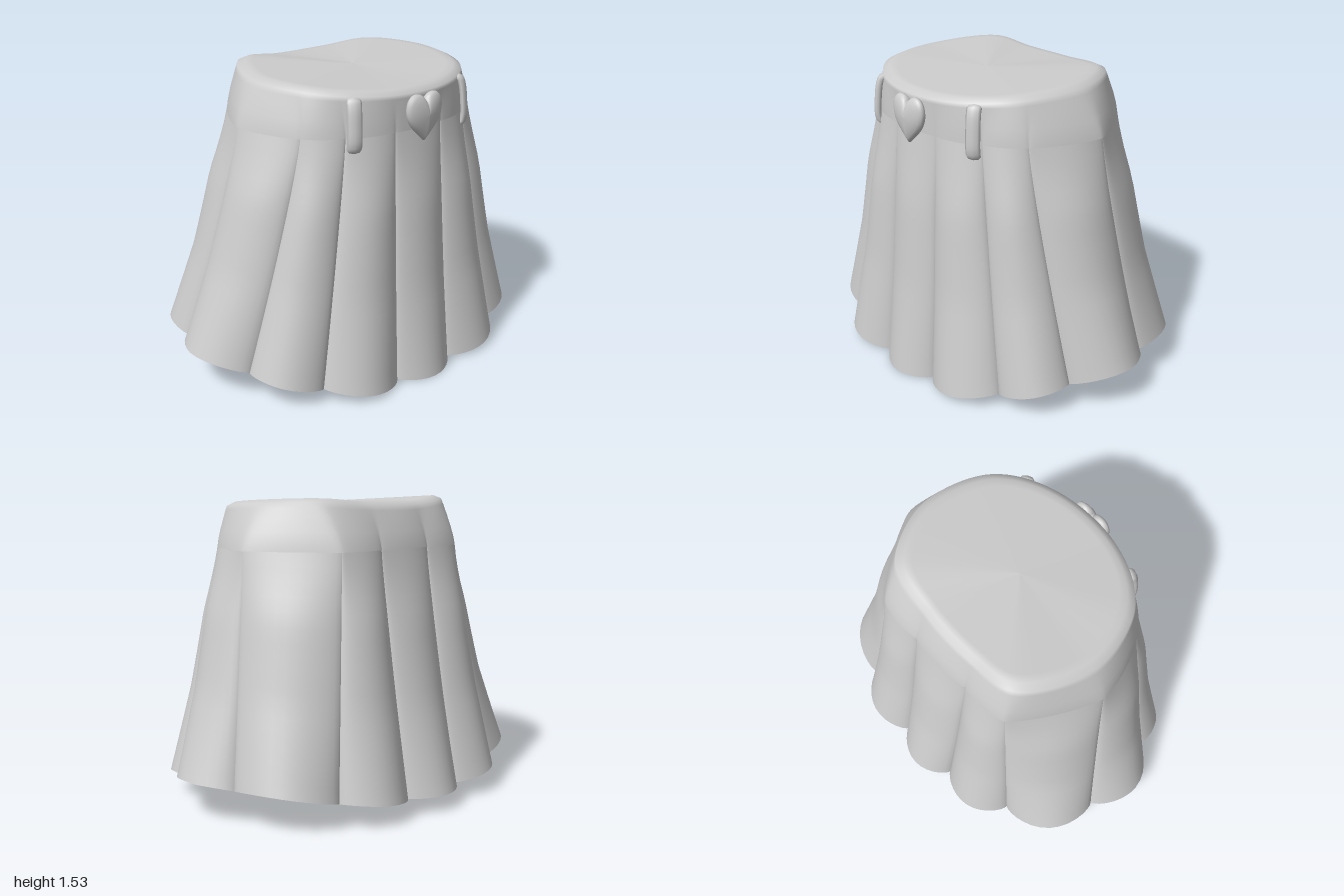
import * as THREE from 'three';

const cloth = new THREE.MeshStandardMaterial({ color: 0xcccccc, side: THREE.DoubleSide });
cloth.name = 'light grey';

// Folds from the model's left (+x) round the front (+z), right (-x) and back (-z):
// hem x,z | waist x,z | top edge x,z,y
const folds = [
  [0.625, 0.18, 0.550, 0.15, 0.550, 0.15, 1.475],
  [0.53, 0.58, 0.470, 0.39, 0.450, 0.39, 1.490],
  [0.27, 0.83, 0.340, 0.55, 0.300, 0.52, 1.505],
  [-0.18, 0.88, 0.00, 0.66, 0.00, 0.57, 1.515],
  [-0.53, 0.56, -0.41, 0.42, -0.33, 0.40, 1.535],
  [-0.62, 0.18, -0.43, 0.17, -0.37, 0.16, 1.510],
  [-0.62, -0.18, -0.43, -0.17, -0.36, -0.16, 1.510],
  [-0.53, -0.56, -0.41, -0.42, -0.29, -0.44, 1.530],
  [-0.14, -0.87, -0.01, -0.69, 0.00, -0.58, 1.522],
  [0.30, -0.82, 0.340, -0.56, 0.300, -0.52, 1.505],
  [0.54, -0.58, 0.470, -0.39, 0.450, -0.39, 1.490],
  [0.625, -0.18, 0.550, -0.15, 0.550, -0.15, 1.475],
];
// Hem depth of the pleat that follows each fold
const depths = [0.12, 0.11, 0.145, 0.14, 0.115, 0.11, 0.115, 0.14, 0.15, 0.11, 0.12, 0.10];
const STEPS = 14;
const WAIST_Y = 1.28;

// Surface from rows of points; rows run downwards, points run from +x towards +z
function grid(rows) {
  const n = rows[0].length, index = [];
  for (let r = 0; r < rows.length - 1; r++) {
    for (let i = 0; i < n - 1; i++) {
      const a = r * n + i, b = a + 1, c = a + n, d = c + 1;
      index.push(a, b, c, b, d, c);
    }
  }
  const g = new THREE.BufferGeometry().setFromPoints(rows.flat());
  g.setIndex(index);
  g.computeVertexNormals();
  return g;
}

// Closed surface: same, with the normals joined where the loop closes
function closedGrid(rows) {
  const g = grid(rows), n = g.attributes.normal, w = rows[0].length;
  for (let r = 0; r < rows.length; r++) {
    const first = r * w, last = first + w - 1;
    const a = new THREE.Vector3().fromBufferAttribute(n, first);
    a.add(new THREE.Vector3().fromBufferAttribute(n, last)).normalize();
    n.setXYZ(first, a.x, a.y, a.z);
    n.setXYZ(last, a.x, a.y, a.z);
  }
  return g;
}

function add(parent, geometry, name) {
  const mesh = new THREE.Mesh(geometry, cloth);
  mesh.name = name;
  parent.add(mesh);
  return mesh;
}

// How far a pleat puffs out, from waist (0) to hem (1), as a share of its hem depth
const puffKeys = [[0, 0.18], [0.12, 0.34], [0.28, 0.56], [0.62, 0.66], [1, 1]];
function puff(s) {
  const i = Math.max(1, puffKeys.findIndex(k => k[0] >= s));
  const [a, p] = puffKeys[i - 1], [b, q] = puffKeys[i];
  return THREE.MathUtils.lerp(p, q, (s - a) / (b - a));
}

// One cross-section of the pleat after fold k
function pleatRow(k, s, inset = 0) {
  const A = folds[k], B = folds[(k + 1) % folds.length], depth = depths[k];
  const row = [], e = Math.pow(s, 1.15), mix = THREE.MathUtils.lerp;
  const ax = mix(A[2], A[0], e), az = mix(A[3], A[1], e);
  const bx = mix(B[2], B[0], e), bz = mix(B[3], B[1], e);
  const len = Math.hypot(bx - ax, bz - az);
  const nx = (bz - az) / len, nz = -(bx - ax) / len;
  const hx = B[0] - A[0], hz = B[1] - A[1], hl = Math.hypot(hx, hz);
  for (let i = 0; i <= STEPS; i++) {
    const t = (1 - Math.cos(Math.PI * i / STEPS)) / 2;
    const bulge = Math.pow(Math.max(0, Math.sin(Math.PI * t)), 0.65);
    const out = bulge * (depth * puff(s) - inset);
    // the hem sweeps low at the sides, high at front and back
    const X = A[0] + hx * t + hz / hl * depth * bulge;
    const Z = A[1] + hz * t - hx / hl * depth * bulge;
    const hemY = 0.2 * Z * Z + Math.max(0, -X) * 0.115;
    row.push(new THREE.Vector3(ax + (bx - ax) * t + nx * out, mix(WAIST_Y, hemY, s), az + (bz - az) * t + nz * out));
  }
  return row;
}

// Waistband and closed top in one smooth skin, meeting the pleats along its lower edge
function waistGeometry() {
  const low = folds.flatMap((f, k) => pleatRow(k, 0).slice(0, STEPS));
  low.push(low[0].clone());
  const top = new THREE.CatmullRomCurve3(folds.map(f => new THREE.Vector3(f[4], f[6], f[5])), true, 'centripetal')
    .getPoints(folds.length * STEPS);
  const centre = new THREE.Vector3(0.09, 1.505, 0);
  const rows = [1, 0.5, 0.14, 0.07].map(k => top.map(p => p.clone().lerp(centre, k)));
  // a slight roundness, fullest just above the lower edge
  for (const [k, lift] of [[0, -0.018], [0.15, -0.008], [0.4, 0.005], [0.7, 0.016], [0.9, 0.014], [1, 0]]) {
    rows.push(top.map((p, i) => {
      const q = p.clone().lerp(low[i], k);
      q.y += lift;
      return q;
    }));
  }
  return closedGrid(rows);
}

// Domed heart, swelling from its outline towards the middle
function heartGeometry() {
  const s = new THREE.Shape();
  s.moveTo(0, -0.115);
  s.bezierCurveTo(0.04, -0.075, 0.112, -0.03, 0.112, 0.045);
  s.bezierCurveTo(0.112, 0.135, 0.02, 0.135, 0, 0.08);
  s.bezierCurveTo(-0.02, 0.135, -0.112, 0.135, -0.112, 0.045);
  s.bezierCurveTo(-0.112, -0.03, -0.04, -0.075, 0, -0.115);
  const outline = s.getPoints(12).reverse();
  const sections = [[0, 0.036], [0.35, 0.034], [0.65, 0.027], [0.85, 0.018], [0.96, 0.009],
    [1, -0.002], [0.97, -0.014], [0.85, -0.022], [0, -0.024]];
  return closedGrid(sections.map(([k, h]) => outline.map(p => new THREE.Vector3(p.x * k, 0.015 + (p.y - 0.015) * k, h))));
}

export function createModel() {
  const skirt = new THREE.Group();
  skirt.name = 'pleatedSkirt';
  add(skirt, waistGeometry(), 'waistband');

  // Pleats, each with a narrow turned-in hem
  const pleats = new THREE.Group();
  pleats.name = 'pleats';
  skirt.add(pleats);
  folds.forEach((f, k) => {
    const rows = [];
    for (let r = 0; r <= 16; r++) rows.push(pleatRow(k, r / 16));
    add(pleats, grid(rows), 'pleat');
    add(pleats, grid([rows[16], pleatRow(k, 1, 0.018)]), 'hem');
  });

  // Belt loops either side of the heart
  const path = new THREE.CatmullRomCurve3([
    [-0.02, 0.112], [0.006, 0.112], [0.018, 0.085], [0.026, 0], [0.024, -0.085], [0.012, -0.112], [-0.02, -0.112],
  ].map(([x, y]) => new THREE.Vector3(x, y, 0)));
  for (const side of [1, -1]) {
    const loop = add(skirt, new THREE.TubeGeometry(path, 28, 0.018, 8), 'beltLoop');
    loop.scale.z = 2;
    loop.position.set(0.482, 1.337, 0.352 * side);
    loop.rotation.set(0, -0.55 * side, 0.05);
  }

  // Heart ornament on the band
  const heart = add(skirt, heartGeometry(), 'heartOrnament');
  heart.rotation.y = Math.PI / 2;
  heart.position.set(0.587, 1.335, 0);
  return skirt;
}
